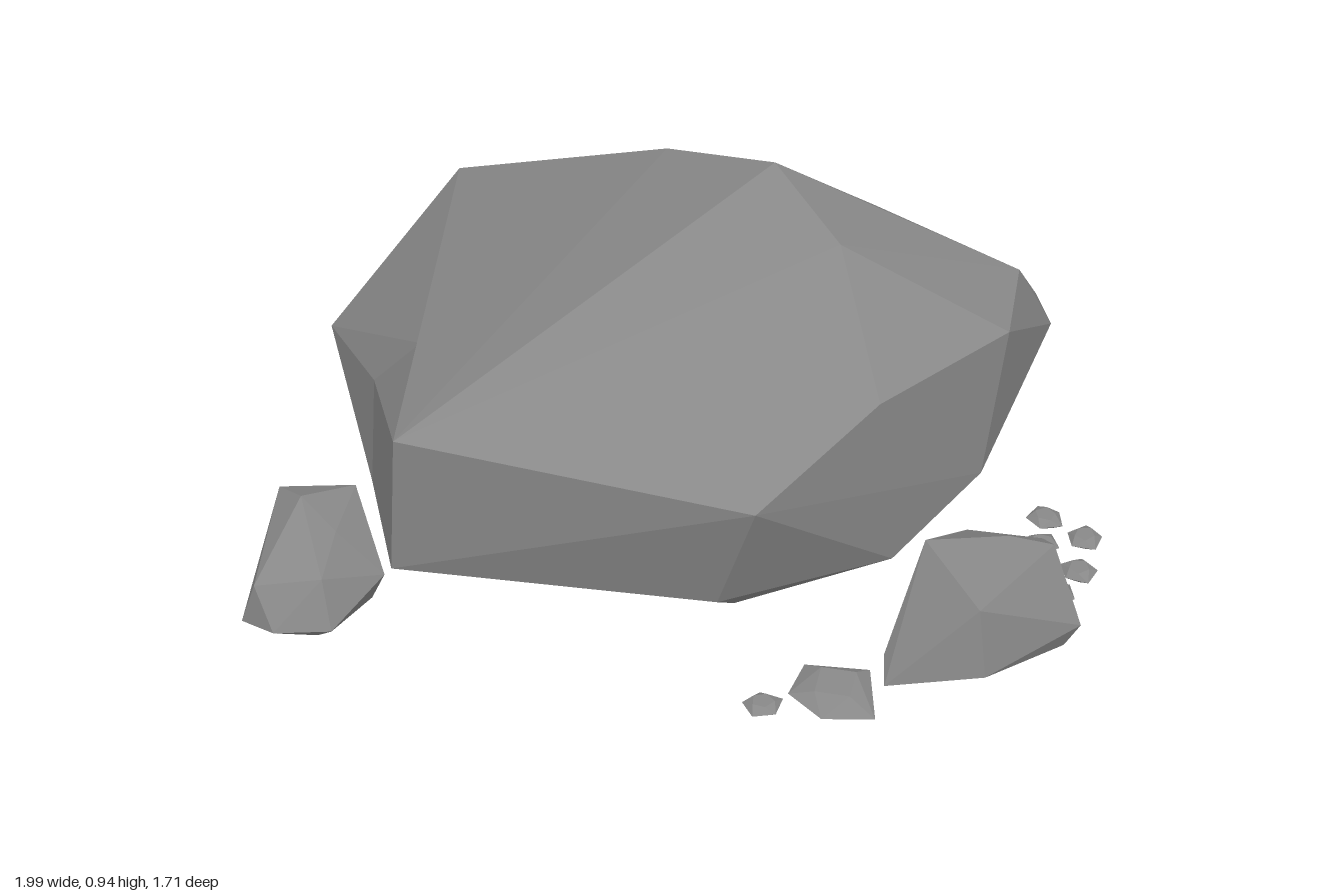
import * as THREE from 'three';
import { ConvexGeometry } from 'three/addons/geometries/ConvexGeometry.js';

const stone = new THREE.MeshStandardMaterial({ color: 0x888888, flatShading: true });

// Faceted stone: the hull around a handful of corner points
function hull(name, corners) {
  const points = corners.map(([x, y, z]) => new THREE.Vector3(x, y, z));
  const mesh = new THREE.Mesh(new ConvexGeometry(points), stone);
  mesh.name = name;
  return mesh;
}

// Small flat stone: five-sided waist with smaller top and bottom rings
function pebble(x, z, radius, height, turn) {
  const corners = [];
  for (const [y, scale, shift] of [[0, 0.55, 0.4], [0.45, 1, 0], [1, 0.55, 0.5]]) {
    for (let i = 0; i < 5; i++) {
      const a = turn + shift + (i / 5) * Math.PI * 2;
      const r = radius * scale * (1 + 0.1 * Math.sin(i * 2.3 + turn));
      corners.push([x + r * Math.cos(a), 0.005 + y * height, z + r * Math.sin(a)]);
    }
  }
  return hull('pebble', corners);
}

// The boulder is three overlapping hulls that share corners, which leaves
// one notch in the back wall and one behind the right front corner
function boulder() {
  const crown = [
    [0.18, 0.95, 0], [0.345, 0.868, 0.21], [-0.09, 0.855, -0.2], [-0.185, 0.775, 0.4],
    [0.755, 0.667, -0.04], [0.735, 0.66, 0.215], [0.455, 0.64, 0.5], [0.2, 0.503, 0.752],
    [0.095, 0.65, -0.51],
  ];
  const frontCorner = [-0.597, 0.625, 0.722];
  const notchTop = [-0.61, 0.6, 0.3];
  const notchMid = [-0.74, 0.44, 0.23];
  const notchLow = [-0.75, 0.18, 0.28];
  const backCorner = [-0.645, 0.6, -0.485];
  const backTip = [-0.05, 0.455, -0.732];
  const backNotch = [-0.29, 0.35, -0.49];
  const rightFoot = [-0.6, 0.005, -0.05];

  const group = new THREE.Group();
  group.name = 'boulder';
  group.add(hull('boulderBody', [
    ...crown, frontCorner, notchTop, notchMid, notchLow, backTip, backNotch, rightFoot,
    // waist
    [0.842, 0.455, -0.14], [0.805, 0.443, -0.29], [0.71, 0.39, -0.43], [0.4, 0.505, -0.56],
    [0.19, 0.5, -0.625], [0.69, 0.3, 0.27],
    [0.495, 0.165, 0.44], [0.11, 0.19, 0.67], [-0.625, 0.255, 0.7],
    // foot
    [0, 0.11, -0.66], [0.475, 0.01, -0.445], [0.61, 0.005, -0.08], [0.13, 0.005, 0.44],
  ]));
  group.add(hull('boulderTop', [
    ...crown, frontCorner, notchTop, backCorner, backTip, backNotch,
  ]));
  group.add(hull('boulderFlank', [
    [-0.912, 0.36, -0.105], backCorner, backNotch, rightFoot, notchTop, notchMid, notchLow,
  ]));
  return group;
}

export function createModel() {
  const group = new THREE.Group();
  group.name = 'boulderCluster';
  group.add(boulder());

  // Three medium rocks around the foot
  group.add(hull('frontLeftRock', [
    [0.76, 0.277, 0.475], [0.57, 0.255, 0.48], [0.865, 0.225, 0.43], [0.665, 0.185, 0.34],
    [0.84, 0.18, 0.35], [0.935, 0.07, 0.525], [0.7, 0.23, 0.695], [0.495, 0.03, 0.735],
    [0.49, 0.06, 0.66], [0.72, 0.06, 0.72], [0.6, 0.005, 0.68], [0.9, 0.005, 0.52],
    [0.8, 0.01, 0.38], [0.6, 0.01, 0.42],
  ]));
  group.add(hull('frontRightRock', [
    [-0.875, 0.277, 0.48], [-0.945, 0.24, 0.4], [-0.77, 0.235, 0.37], [-0.79, 0.21, 0.52],
    [-0.985, 0.06, 0.365], [-0.775, 0.1, 0.345], [-0.68, 0.1, 0.53], [-0.775, 0.06, 0.7],
    [-0.91, 0.05, 0.707], [-0.998, 0.03, 0.645], [-0.96, 0.14, 0.65], [-0.8, 0.17, 0.65],
    [-0.95, 0.005, 0.42], [-0.72, 0.005, 0.5], [-0.82, 0.005, 0.65],
  ]));
  group.add(hull('backRock', [
    [-0.6, 0.245, -0.7], [-0.71, 0.22, -0.64], [-0.7, 0.125, -0.862], [-0.545, 0.125, -0.857],
    [-0.57, 0.175, -0.825], [-0.44, 0.17, -0.76], [-0.34, 0.1, -0.645], [-0.825, 0.12, -0.655],
    [-0.78, 0.15, -0.76], [-0.65, 0.2, -0.47], [-0.4, 0.18, -0.55],
    [-0.68, 0.005, -0.85], [-0.53, 0.005, -0.83], [-0.4, 0.005, -0.62],
    [-0.78, 0.01, -0.65], [-0.62, 0.02, -0.47],
  ]));

  // Flat stone in front
  group.add(hull('flatStone', [
    [0.31, 0.02, 0.665], [0.46, 0.02, 0.67], [0.48, 0.02, 0.84], [0.36, 0.02, 0.85],
    [0.28, 0.02, 0.77], [0.35, 0.045, 0.7], [0.43, 0.045, 0.71], [0.42, 0.04, 0.79],
    [0.34, 0.04, 0.78], [0.36, 0.005, 0.72], [0.43, 0.005, 0.75], [0.37, 0.005, 0.8],
  ]));

  // Scattered pebbles
  const spots = [
    [0.455, -0.575], [0.57, -0.535], [-0.78, -0.47], [-0.865, -0.365], [-0.775, -0.365],
    [-0.845, -0.27], [-0.825, 0.3], [0.855, 0.055], [0.95, 0.125], [0.845, 0.16],
    [0.82, 0.265], [0.935, 0.255], [0.885, 0.35], [0.225, 0.81],
  ];
  spots.forEach(([x, z], i) => group.add(pebble(x, z, 0.047, 0.025, i * 1.7)));

  return group;
}
